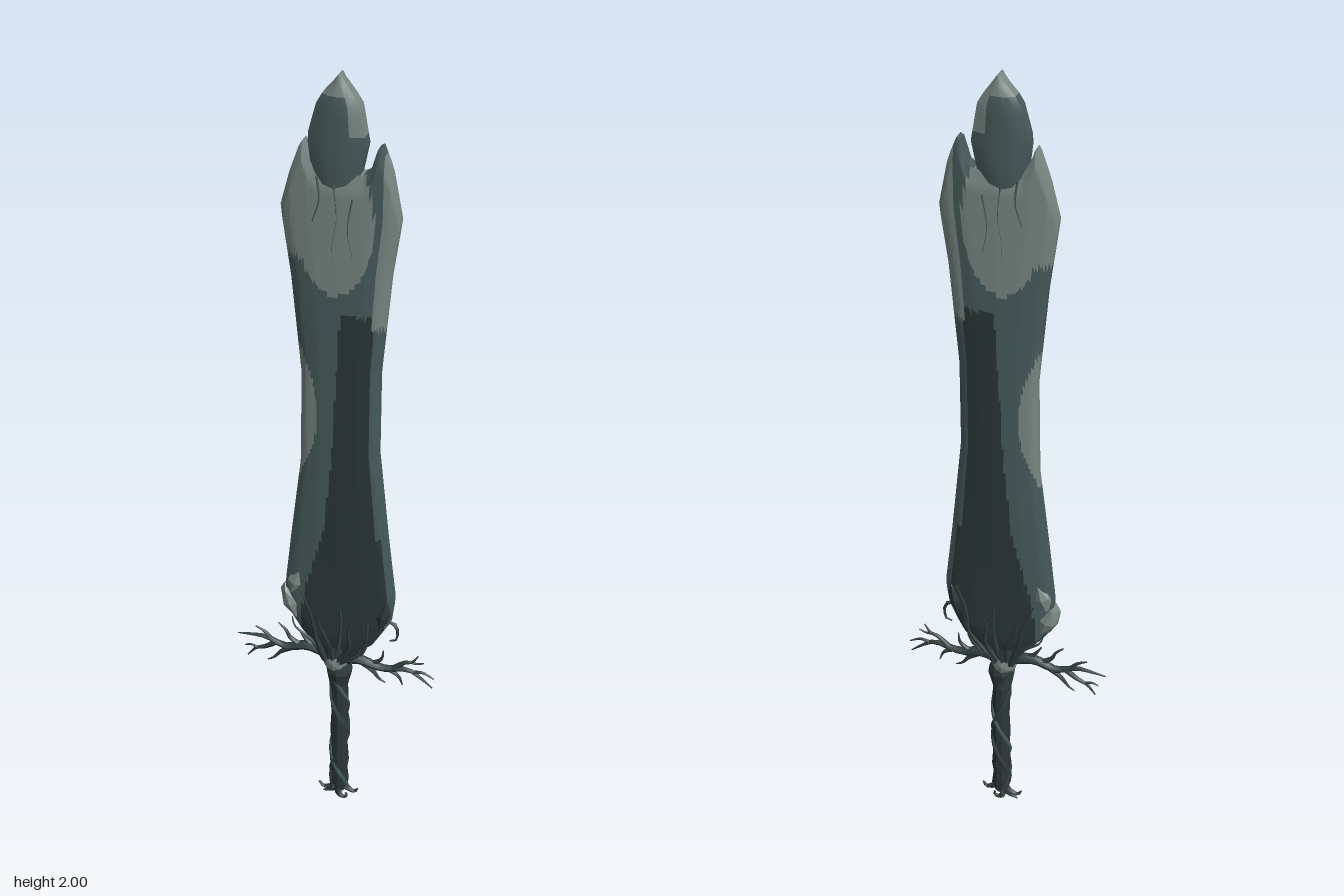
import * as THREE from 'three';
import { toCreasedNormals } from 'three/addons/utils/BufferGeometryUtils.js';

const mat = (name, color) => Object.assign(new THREE.MeshStandardMaterial({ color }), { name });

// Piecewise-linear lookup in a list of [position, value] pairs
function look(table, t) {
  if (t <= table[0][0]) return table[0][1];
  for (let i = 1; i < table.length; i++) {
    const [a, va] = table[i - 1], [b, vb] = table[i];
    if (t <= b) return va + (vb - va) * (t - a) / (b - a);
  }
  return table[table.length - 1][1];
}

// Two-sided slab: left/right edges by height, top/bottom by fraction across, half thickness by a rule
function slab(o) {
  const { cols, rows } = o, n = (cols + 1) * (rows + 1), pos = [], buckets = [[], [], []];
  for (const side of [1, -1]) for (let j = 0; j <= rows; j++) for (let i = 0; i <= cols; i++) {
    const u = i / cols, v = j / rows;
    const y = THREE.MathUtils.lerp(look(o.bottom, u), look(o.top, u), v);
    const x = THREE.MathUtils.lerp(look(o.left, y), look(o.right, y), u);
    pos.push(x, y, side * o.half(u, v, y));
  }
  const at = (i, j) => j * (cols + 1) + i;
  const pick = (a, b, u) => o.colour((pos[a * 3] + pos[b * 3]) / 2, (pos[a * 3 + 1] + pos[b * 3 + 1]) / 2, u);
  for (let j = 0; j < rows; j++) for (let i = 0; i < cols; i++) {
    const a = at(i, j), b = at(i + 1, j), c = at(i + 1, j + 1), d = at(i, j + 1);
    const k = buckets[pick(a, c, (i + 0.5) / cols)];
    k.push(a, b, c, a, c, d, a + n, c + n, b + n, a + n, d + n, c + n);
  }
  // rim wall
  const ring = [];
  for (let i = 0; i < cols; i++) ring.push([i, 0]);
  for (let j = 0; j < rows; j++) ring.push([cols, j]);
  for (let i = cols; i > 0; i--) ring.push([i, rows]);
  for (let j = rows; j > 0; j--) ring.push([0, j]);
  ring.forEach(([i, j], s) => {
    const p = at(i, j), q = at(...ring[(s + 1) % ring.length]);
    buckets[pick(p, q, i / cols)].push(p, p + n, q + n, p, q + n, q);
  });
  const g = new THREE.BufferGeometry();
  g.setAttribute('position', new THREE.Float32BufferAttribute(pos, 3));
  g.setIndex(buckets.flat());
  let start = 0;
  buckets.forEach((b, m) => { if (b.length) g.addGroup(start, b.length, m); start += b.length; });
  return toCreasedNormals(g, 0.5);
}

// Tube along points [x, y, z] whose radius runs from r0 to r1
function taper(points, r0, r1, segs = 10, sides = 6) {
  const curve = new THREE.CatmullRomCurve3(points.map(([x, y, z = 0]) => new THREE.Vector3(x, y, z)));
  const g = new THREE.TubeGeometry(curve, segs, 1, sides, false);
  const p = g.attributes.position, v = new THREE.Vector3();
  for (let i = 0; i < p.count; i++) {
    const t = Math.floor(i / (sides + 1)) / segs, c = curve.getPointAt(t);
    v.fromBufferAttribute(p, i).sub(c).multiplyScalar(r0 + (r1 - r0) * t).add(c);
    p.setXYZ(i, v.x, v.y, v.z);
  }
  g.computeVertexNormals();
  return g;
}

export function createModel() {
  const model = new THREE.Group();
  model.name = 'sword';
  const light = mat('pale stone', 0x7a8984), mid = mat('slate', 0x485c5c);
  const dark = mat('dark slate', 0x2c3838), bark = mat('bark', 0x324240);
  const palette = [light, mid, dark];
  const add = (name, geo, material, parent = model) => {
    const m = new THREE.Mesh(geo, material);
    m.name = name;
    parent.add(m);
    return m;
  };
  const group = (name) => {
    const g = new THREE.Group();
    g.name = name;
    model.add(g);
    return g;
  };

  // Blade body with two broken shoulders at the top
  const section = [[0, 0.008], [0.08, 0.017], [0.25, 0.023], [0.5, 0.025], [0.75, 0.023], [0.92, 0.017], [1, 0.008]];
  const darkFrom = [[0.5, -0.09], [0.7, -0.07], [0.9, -0.02], [1.1, 0.0], [1.48, 0.02]];
  add('blade', slab({
    cols: 36, rows: 100,
    left: [[0.655, -0.122], [0.73, -0.118], [0.865, -0.103], [1.08, -0.077], [1.315, -0.072], [1.55, -0.092], [1.71, -0.113]],
    right: [[0.65, 0.143], [0.72, 0.15], [0.89, 0.13], [1.13, 0.105], [1.34, 0.105], [1.58, 0.125], [1.71, 0.143]],
    top: [[0, 1.71], [0.09, 1.79], [0.19, 1.86], [0.23, 1.83], [0.3, 1.8], [0.7, 1.8], [0.75, 1.81], [0.82, 1.87], [0.91, 1.815], [1, 1.71]],
    bottom: [[0, 0.65], [0.17, 0.58], [0.36, 0.53], [0.64, 0.53], [0.84, 0.575], [1, 0.65]],
    half: (u, v, y) => look(section, u) * look([[0, 0.7], [0.04, 1], [0.97, 1], [1, 0.65]], v) * look([[0.55, 1.18], [0.8, 1]], y),
    colour: (x, y, u) => {
      if (((x - 0.005) / 0.085) ** 2 + ((y - 1.69) / 0.165) ** 2 < 1) return 0;
      if (y > 1.6 && x < -0.04) return 0;
      if (y > 1.45 && u > 0.87) return 0;
      if (Math.abs(y - 1.22) < 0.2 && x < -0.033 - ((y - 1.22) / 0.14) ** 2 * 0.03) return 0;
      if (y < 1.48 && x > look(darkFrom, y) && u < (y < 0.9 ? 0.95 : 0.88)) return 2;
      return 1;
    },
  }), palette);

  // Pointed tip standing out between the shoulders
  add('bladeTip', slab({
    cols: 8, rows: 12,
    left: [[1.76, -0.04], [1.87, -0.052], [1.9, -0.044], [1.95, -0.03], [1.985, 0.0], [2, 0.011]],
    right: [[1.76, 0.05], [1.86, 0.07], [1.945, 0.055], [1.985, 0.026], [2, 0.015]],
    top: [[0, 2]], bottom: [[0, 1.76]],
    half: (u, v) => look([[0, 0.014], [0.25, 0.024], [0.5, 0.027], [0.75, 0.024], [1, 0.014]], u) * look([[0, 0.85], [0.2, 1], [0.75, 1], [1, 0.6]], v),
    colour: (x, y, u) => (y > 1.955 || (u > 0.75 && y > 1.87) ? 0 : 1),
  }), palette);

  // Cracks carved over the pale patch, on both faces
  const cracks = group('cracks');
  for (const s of [1, -1]) {
    [[[-0.03, 1.79], [-0.025, 1.74], [-0.04, 1.69]],
      [[0.005, 1.78], [0.012, 1.7], [0.002, 1.64], [0.01, 1.56]],
      [[0.045, 1.75], [0.035, 1.68], [0.045, 1.62]]].forEach((c) =>
      add('crack', taper(c.map(([x, y]) => [x, y, s * 0.0235]), 0.0025, 0.001, 8, 4), mid, cracks));
  }

  // Stone flakes low on the blade edge
  const flakes = group('edgeFlakes');
  for (const [x, y, w, h, tilt] of [[-0.105, 0.655, 0.026, 0.055, 0.35], [-0.093, 0.725, 0.024, 0.05, -0.3], [0.125, 0.67, 0.02, 0.06, -0.2]]) {
    const f = add('flake', toCreasedNormals(new THREE.OctahedronGeometry(1, 1), 0.3), x < 0 ? light : dark, flakes);
    f.position.set(x, y, 0);
    f.scale.set(w, h, 0.028);
    f.rotation.z = tilt;
  }

  // Roots fanning up over the blade base, on both faces
  const roots = group('bladeRoots');
  for (const s of [1, -1]) {
    [[-0.1, 0.62, 0.006], [-0.075, 0.7, 0.009], [-0.03, 0.67, 0.008], [0.015, 0.71, 0.008], [0.06, 0.66, 0.009], [0.1, 0.64, 0.008], [0.12, 0.72, 0.006]]
      .forEach(([x, y, r], i) => add('root', taper([
        [x * 0.2, 0.5, s * 0.02], [x * 0.6 + 0.01, 0.56, s * 0.026],
        [x * 0.85 + (i % 2 ? 0.012 : -0.008), 0.56 + (y - 0.56) * 0.6, s * 0.027], [x, y, s * 0.022]], r, 0.0015), i % 3 ? dark : bark, roots));
  }
  add('hookRoot', taper([[0.04, 0.53], [0.09, 0.57], [0.14, 0.645], [0.157, 0.63], [0.155, 0.59], [0.14, 0.585]], 0.011, 0.002, 14), bark, roots);
  add('sideRoot', taper([[-0.02, 0.53], [-0.07, 0.575], [-0.11, 0.63], [-0.118, 0.69]], 0.012, 0.002), bark, roots);

  // Knot at the centre of the guard
  const knot = add('guardKnot', toCreasedNormals(new THREE.IcosahedronGeometry(1, 1), 0.3), light);
  knot.position.set(0.005, 0.495, 0);
  knot.scale.set(0.034, 0.042, 0.033);
  add('guardCollar', taper([[0.012, 0.41], [0.006, 0.47], [0.002, 0.55]], 0.024, 0.033, 6, 8), bark);

  // Bare branches forming the crossguard
  const guard = group('guardBranches');
  [
    [[[0, 0.5], [-0.07, 0.515], [-0.125, 0.497], [-0.18, 0.515], [-0.252, 0.508]], 0.017],
    [[[-0.04, 0.51], [-0.07, 0.53], [-0.09, 0.56]], 0.009],
    [[[-0.085, 0.508], [-0.115, 0.53], [-0.125, 0.55], [-0.145, 0.57]], 0.008],
    [[[-0.165, 0.512], [-0.18, 0.53], [-0.205, 0.543]], 0.006],
    [[[-0.1, 0.505], [-0.14, 0.475], [-0.16, 0.45], [-0.175, 0.44]], 0.009],
    [[[-0.15, 0.505], [-0.18, 0.482], [-0.205, 0.47], [-0.228, 0.442]], 0.008],
    [[[-0.2, 0.472], [-0.22, 0.478], [-0.235, 0.472]], 0.004],
    [[[0, 0.49], [0.06, 0.505], [0.12, 0.492], [0.19, 0.503], [0.22, 0.485], [0.25, 0.46]], 0.017],
    [[[0.04, 0.505], [0.07, 0.525], [0.085, 0.555]], 0.008],
    [[[0.095, 0.498], [0.12, 0.52], [0.125, 0.55]], 0.007],
    [[[0.15, 0.497], [0.18, 0.525], [0.197, 0.53], [0.213, 0.555]], 0.008],
    [[[0.19, 0.53], [0.21, 0.528], [0.228, 0.535]], 0.004],
    [[[0.07, 0.5], [0.1, 0.475], [0.115, 0.455], [0.132, 0.445]], 0.009],
    [[[0.135, 0.495], [0.165, 0.475], [0.175, 0.45]], 0.007],
    [[[0.2, 0.498], [0.225, 0.503], [0.253, 0.49]], 0.005],
  ].forEach(([pts, r]) => add('branch', taper(pts, r, 0.0015, 12), bark, guard));

  // Knobbly grip with vines wound round it
  const profile = [[0.001, 0.035], [0.017, 0.04], [0.025, 0.07], [0.021, 0.11], [0.025, 0.14], [0.021, 0.2], [0.024, 0.25],
    [0.021, 0.31], [0.023, 0.37], [0.021, 0.41], [0.033, 0.46], [0.02, 0.5]];
  const grip = add('grip', toCreasedNormals(new THREE.LatheGeometry(profile.map((p) => new THREE.Vector2(...p)), 9), 0.5), dark);
  grip.position.x = 0.014;
  const vines = group('gripVines');
  for (let k = 0; k < 3; k++) {
    const pts = [];
    for (let i = 0; i <= 20; i++) {
      const a = k * 2.1 + i * 0.42 * (k === 2 ? -1 : 1);
      pts.push([0.014 + Math.cos(a) * 0.021, 0.05 + i * 0.02, Math.sin(a) * 0.021]);
    }
    add('vine', taper(pts, 0.006, 0.006, 50, 5), k ? bark : mid, vines);
  }

  // Curling roots at the pommel
  const pommel = group('pommelRoots');
  [
    [[0.014, 0.06], [-0.01, 0.035], [-0.03, 0.03], [-0.042, 0.045]],
    [[0.012, 0.05], [-0.008, 0.025], [-0.03, 0.014]],
    [[0.014, 0.06], [0.04, 0.04], [0.055, 0.035], [0.065, 0.05]],
    [[0.014, 0.05], [0.01, 0.02], [0.022, 0.005], [0.034, 0.012], [0.03, 0.024]],
    [[0.014, 0.06, 0.005], [0.02, 0.035, 0.02], [0.03, 0.03, 0.023]],
    [[0.014, 0.06, -0.005], [0.005, 0.035, -0.02], [0.0, 0.03, -0.023]],
  ].forEach((pts) => add('pommelRoot', taper(pts, 0.012, 0.002), bark, pommel));

  return model;
}
